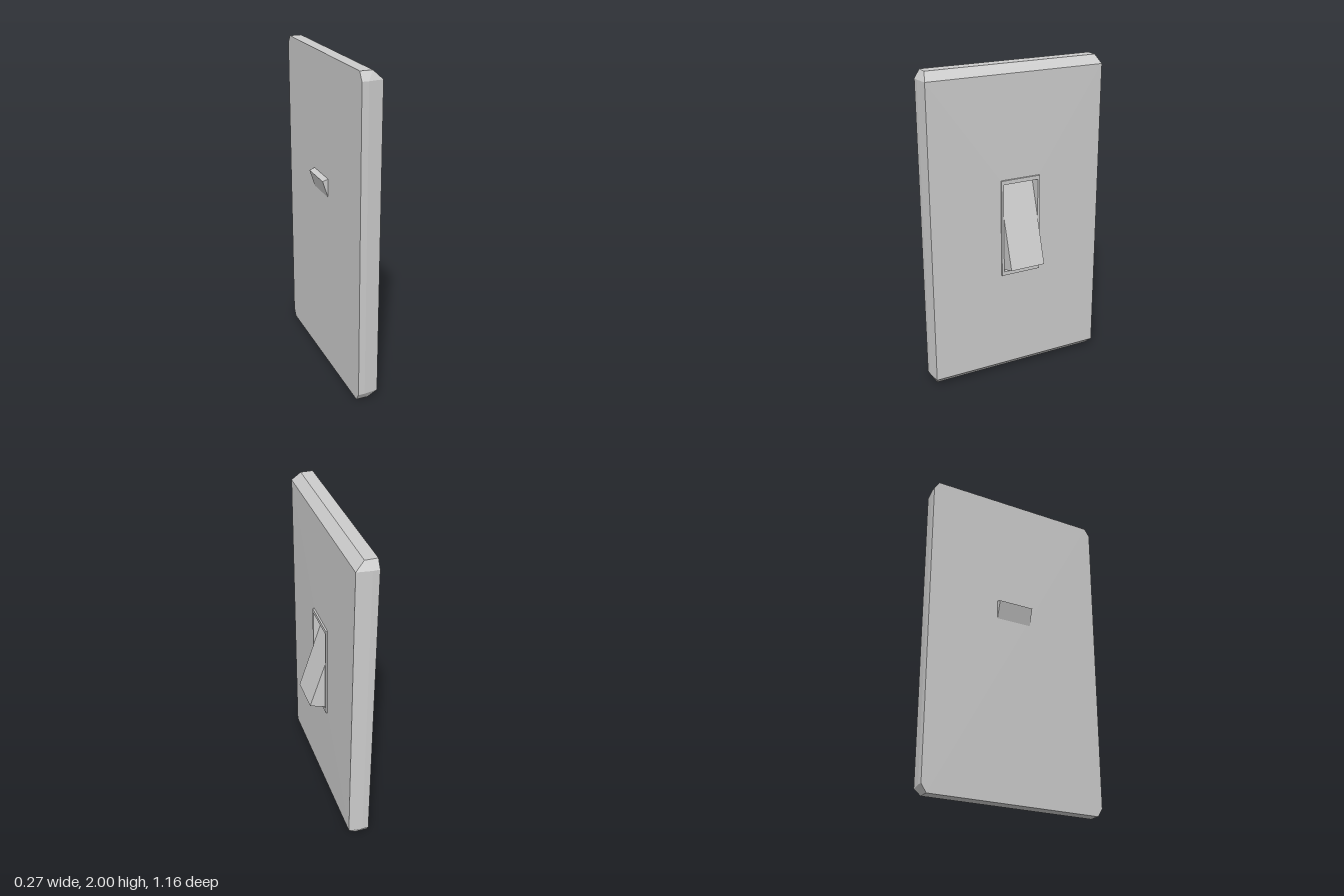
import * as THREE from 'three';

const SLOT_Z = -0.015;

// Eight-point outline around the x axis, with cut corners.
// hy, hz: half extents; cy, cz: where the corner cuts begin; xSide: x of the side points.
function ring(x, hy, hz, cy = hy, cz = hz, z0 = 0, xSide = x) {
  return [
    [x, hy, -cz], [x, hy, cz], [xSide, cy, hz], [xSide, -cy, hz],
    [x, -hy, cz], [x, -hy, -cz], [xSide, -cy, -hz], [xSide, cy, -hz],
  ].map(([px, y, z]) => new THREE.Vector3(px, y + 1, z + z0));
}

// Flat-faced skin through the rings, optionally capped at either end.
function skin(rings, capStart, capEnd) {
  const pos = [];
  const tri = (a, b, c) => {
    const area = new THREE.Triangle(a, b, c).getArea();
    if (area > 1e-7) for (const v of [a, b, c]) pos.push(v.x, v.y, v.z);
  };
  const middle = (r) => r.reduce((s, v) => s.add(v), new THREE.Vector3()).divideScalar(r.length);
  for (let k = 0; k < rings.length - 1; k++) {
    const a = rings[k], b = rings[k + 1];
    for (let i = 0; i < 8; i++) {
      const j = (i + 1) % 8;
      tri(a[i], a[j], b[j]);
      tri(a[i], b[j], b[i]);
    }
  }
  const first = rings[0], last = rings[rings.length - 1];
  for (let i = 0; i < 8; i++) {
    const j = (i + 1) % 8;
    if (capStart) tri(first[j], first[i], middle(first));
    if (capEnd) tri(last[i], last[j], middle(last));
  }
  const geo = new THREE.BufferGeometry();
  geo.setAttribute('position', new THREE.Float32BufferAttribute(pos, 3));
  geo.computeVertexNormals();
  return geo;
}

export function createModel() {
  const group = new THREE.Group();
  const plastic = new THREE.MeshStandardMaterial({ color: 0xcccccc });
  plastic.name = 'light grey plastic';
  const add = (name, geo) => {
    const mesh = new THREE.Mesh(geo, plastic);
    mesh.name = name;
    group.add(mesh);
    return mesh;
  };

  // Wall plate: bevelled rim and a slightly domed face around the slot
  add('wallPlate', skin([
    ring(-0.105, 1, 0.582, 0.95, 0.55),
    ring(-0.03, 1, 0.582, 0.95, 0.55, 0, -0.065),
    ring(0.022, 0.95, 0.57),
    ring(0.027, 0.312, 0.13, 0.312, 0.13, SLOT_Z),
  ], true, false));

  // Raised slot frame with its recess
  add('slotFrame', skin([
    ring(0.02, 0.312, 0.13, 0.312, 0.13, SLOT_Z),
    ring(0.038, 0.312, 0.13, 0.312, 0.13, SLOT_Z),
    ring(0.038, 0.287, 0.116, 0.287, 0.116, SLOT_Z),
    ring(-0.1, 0.287, 0.116, 0.287, 0.116, SLOT_Z),
  ], false, true));

  // Tilted rocker passing through the plate
  const rocker = add('rocker', new THREE.BoxGeometry(0.109, 0.551, 0.227));
  rocker.position.set(-0.0025, 1.0045, SLOT_Z);
  rocker.rotation.z = THREE.MathUtils.degToRad(18.1);

  return group;
}
